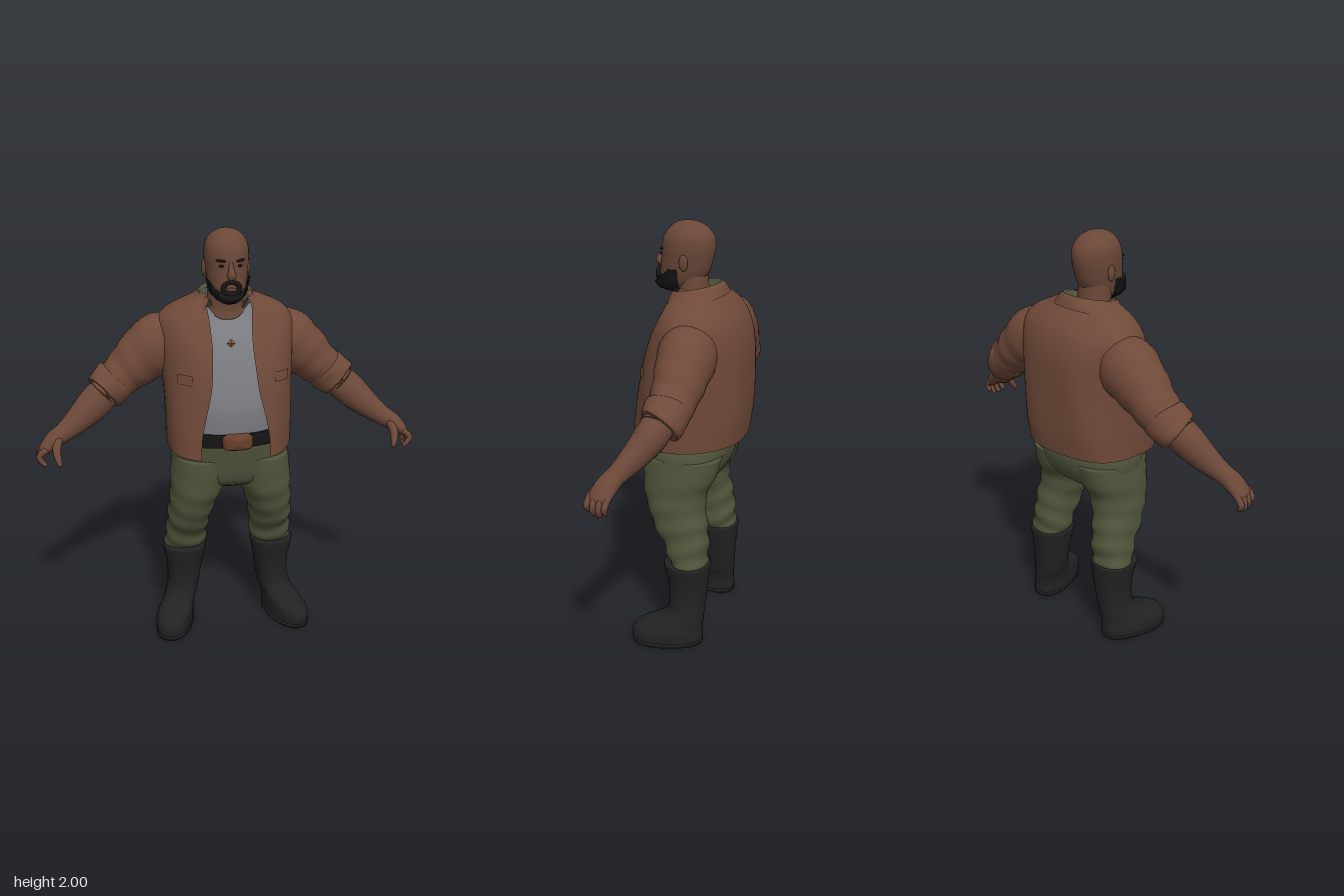
import * as THREE from 'three';

const mat = (name, color) => {
  const m = new THREE.MeshStandardMaterial({ color, side: THREE.DoubleSide });
  m.name = name;
  return m;
};
const V = (x, y, z) => new THREE.Vector3(x, y, z);
const TAU = Math.PI * 2;

// Smooth interpolation through rows of numbers, u in 0..1
function sample(rows, u) {
  const f = Math.min(u, 0.99999) * (rows.length - 1), i = Math.floor(f), t = f - i;
  const at = (k) => rows[Math.max(0, Math.min(rows.length - 1, k))];
  return rows[i].map((b, k) => {
    const a = at(i - 1)[k], c = at(i + 1)[k], d = at(i + 2)[k];
    return b + 0.5 * t * (c - a + t * (2 * a - 5 * b + 4 * c - d + t * (3 * (b - c) + d - a)));
  });
}

// Surface from a function of two parameters; closed wraps v, caps fill both ends
function grid(fn, nu, nv, closed = false, caps = false) {
  const pos = [], idx = [], cols = closed ? nv : nv + 1;
  for (let i = 0; i <= nu; i++)
    for (let j = 0; j < cols; j++) pos.push(...fn(i / nu, j / nv).toArray());
  for (let i = 0; i < nu; i++)
    for (let j = 0; j < nv; j++) {
      const a = i * cols + j, b = i * cols + ((j + 1) % cols);
      idx.push(a, b, b + cols, a, b + cols, a + cols);
    }
  if (caps) for (const i of [0, nu]) {
    const c = V(0, 0, 0), id = pos.length / 3;
    for (let j = 0; j < nv; j++) c.addScaledVector(fn(i / nu, j / nv), 1 / nv);
    pos.push(...c.toArray());
    for (let j = 0; j < nv; j++) {
      const a = i * cols + j, b = i * cols + ((j + 1) % cols);
      idx.push(...(i ? [a, b, id] : [b, a, id]));
    }
  }
  const g = new THREE.BufferGeometry();
  g.setAttribute('position', new THREE.Float32BufferAttribute(pos, 3));
  g.setIndex(idx);
  g.computeVertexNormals();
  return g;
}

// Point on a level section [y, centreX, halfWidth, zBack, zFront, turn]; angle 0 faces front
function ring([y, cx, rx, zb, zf, turn = 0], t, e = 1, grow = 0) {
  const pw = (v) => Math.sign(v) * Math.abs(v) ** e;
  const x = (rx + grow) * pw(Math.sin(t)), z = ((zf - zb) / 2 + grow) * pw(Math.cos(t));
  const c = Math.cos(turn), s = Math.sin(turn);
  return V(cx + x * c + z * s, y, (zf + zb) / 2 + z * c - x * s);
}
const loft = (rows, nu, nv, e = 1, fold = () => 0) =>
  grid((u, v) => ring(sample(rows, u), v * TAU, e, fold(u, v * TAU)), nu, nv, true, true);

// Tube along sections [x, y, z, radius in the front plane, radius in depth]
function limb(rows, nu, nv, fold = () => 0) {
  return grid((u, v) => {
    const [x, y, z, ru, rv] = sample(rows, u);
    const p = sample(rows, Math.max(0, u - 0.02)), q = sample(rows, Math.min(1, u + 0.02));
    const T = V(q[0] - p[0], q[1] - p[1], q[2] - p[2]).normalize();
    const e2 = T.clone().cross(V(0, 0, 1)).normalize(), e1 = e2.clone().cross(T);
    const k = 1 + fold(u, v * TAU);
    return V(x, y, z).addScaledVector(e1, k * rv * Math.cos(v * TAU)).addScaledVector(e2, k * ru * Math.sin(v * TAU));
  }, nu, nv, true, true);
}

export function createModel() {
  const root = new THREE.Group();
  const skin = mat('skin', 0x6b4838), cloth = mat('jacket brown', 0x704a39), grey = mat('shirt grey', 0x7c7d82);
  const olive = mat('trouser olive', 0x50553b), black = mat('boot black', 0x222223), hair = mat('beard black', 0x161617);
  const leather = mat('buckle leather', 0x6a3f2c), bronze = mat('pendant bronze', 0x8a5a3c), lip = mat('lip brown', 0x5a3830);
  const add = (name, geo, m, parent = root) => {
    const o = new THREE.Mesh(geo, m);
    o.name = name;
    parent.add(o);
    return o;
  };
  const ball = (name, m, p, s, parent = root) => {
    const o = add(name, new THREE.SphereGeometry(1, 16, 12), m, parent);
    o.position.set(...p);
    o.scale.set(...s);
    return o;
  };

  // Head, neck and face
  const head = new THREE.Group();
  head.name = 'head';
  root.add(head);
  add('skull', loft([[1.685, 0.003, 0.04, 0.03, 0.12], [1.72, 0.003, 0.074, -0.03, 0.155], [1.77, 0.003, 0.088, -0.07, 0.158],
    [1.83, 0.003, 0.096, -0.09, 0.152], [1.88, 0.003, 0.1, -0.1, 0.15], [1.93, 0.003, 0.096, -0.095, 0.138],
    [1.97, 0.003, 0.073, -0.063, 0.108], [1.992, 0.003, 0.04, -0.02, 0.073], [2, 0.003, 0.004, 0.02, 0.03]], 32, 32), skin, head);
  add('neck', loft([[1.5, 0, 0.2, -0.13, 0.125], [1.58, 0, 0.15, -0.12, 0.085], [1.64, 0, 0.09, -0.08, 0.072],
    [1.72, 0, 0.08, -0.066, 0.08], [1.8, 0, 0.078, -0.06, 0.08]], 14, 24), skin, head);
  add('nose', limb([[0.003, 1.875, 0.138, 0.008, 0.01], [0.003, 1.84, 0.155, 0.012, 0.014],
    [0.003, 1.813, 0.167, 0.021, 0.018], [0.003, 1.8, 0.155, 0.014, 0.01]], 10, 12), skin, head);
  for (const s of [-1, 1]) {
    ball('ear', skin, [0.003 + s * 0.1, 1.825, 0.015], [0.011, 0.036, 0.021], head);
    ball('eye', hair, [0.003 + s * 0.039, 1.853, 0.139], [0.014, 0.006, 0.008], head);
    const brow = ball('brow', hair, [0.003 + s * 0.042, 1.875, 0.137], [0.024, 0.006, 0.009], head);
    brow.rotation.set(0, s * 0.35, s * 0.08);
  }
  ball('lips', lip, [0.003, 1.752, 0.163], [0.024, 0.009, 0.012], head);

  // Beard: ragged shell round the jaw and a ring round the mouth
  const beardRows = [[0.01, 0.03], [0.065, 0.09], [0.084, 0.122], [0.09, 0.124], [0.098, 0.108]];
  add('beard', grid((u, v) => {
    const t = (v - 0.5) * 3.3, a = Math.abs(t), [rx, rz] = sample(beardRows, u);
    const top = 1.735 + 0.06 * THREE.MathUtils.smoothstep(a, 0.25, 1.5);
    const rag = 0.007 * Math.sin(19 * t + 9 * u) * Math.sin(14 * u + 5 * t);
    return V(0.003 + (rx + rag) * Math.sin(t), 1.672 + (top - 1.672) * u + rag, 0.055 + (rz + rag) * Math.cos(t));
  }, 10, 36), hair, head);
  const ringBeard = add('moustache', new THREE.TorusGeometry(0.036, 0.012, 8, 24), hair, head);
  ringBeard.position.set(0.003, 1.758, 0.16);
  ringBeard.scale.y = 0.75;

  // Shirt with a dipped neckline
  const shirtRows = [[1.04, 0.01, 0.25, -0.2, 0.215], [1.2, 0.01, 0.262, -0.25, 0.228], [1.35, 0.01, 0.26, -0.245, 0.2],
    [1.5, 0.005, 0.24, -0.22, 0.15], [1.6, 0.003, 0.18, -0.17, 0.098], [1.665, 0.003, 0.118, -0.1, 0.082]];
  add('shirt', grid((u, v) => {
    const t = v * TAU, r = sample(shirtRows, u), p = ring(r, t, 0.85);
    p.y -= 0.085 * u ** 8 * Math.max(0, Math.cos(t)) ** 6;
    return p;
  }, 24, 40, true), grey);
  const pendant = add('pendant', new THREE.OctahedronGeometry(0.02), bronze);
  pendant.position.set(0.003, 1.51, 0.152);
  pendant.scale.z = 0.4;

  // Open jacket: last number of each row is the half width of the front opening
  const jacketRows = [[1, 0.012, 0.295, -0.265, 0.268, 0.16], [1.1, 0.012, 0.297, -0.277, 0.262, 0.155], [1.2, 0.012, 0.297, -0.28, 0.25, 0.135],
    [1.3, 0.012, 0.3, -0.277, 0.232, 0.11], [1.4, 0.012, 0.305, -0.272, 0.208, 0.098], [1.5, 0.01, 0.315, -0.258, 0.17, 0.092],
    [1.58, 0.01, 0.315, -0.228, 0.125, 0.095], [1.635, 0.01, 0.27, -0.185, 0.095, 0.1], [1.68, 0.006, 0.18, -0.14, 0.07, 0.1],
    [1.71, 0.004, 0.115, -0.105, 0.05, 0.09]];
  const E = 0.82;
  const jacketPoint = (u, t, grow = 0) => {
    const p = ring(sample(jacketRows, u).slice(0, 5), t, E, grow + 0.004 * Math.sin(5 * t + 6 * u));
    p.y -= 0.018 * Math.cos(t) * (1 - u) ** 3;
    return p;
  };
  add('jacketBody', grid((u, v) => {
    const r = sample(jacketRows, u), t0 = Math.asin(Math.min(1, r[5] / r[2]) ** (1 / E));
    return jacketPoint(u, t0 + v * (TAU - 2 * t0));
  }, 36, 56), cloth);
  for (const s of [-1, 1]) add('pocketFlap', grid((u, v) =>
    jacketPoint(0.37 + 0.05 * u, s * 0.75 + (v - 0.5) * 0.32, 0.006), 2, 6), cloth);

  // Folded collar with an olive lining
  const collar = (name, m, rows) => add(name, grid((u, v) => {
    const t = 0.75 + v * (TAU - 1.5), [rx, rz, yf, yb] = sample(rows, u), k = (1 - Math.cos(t)) / 2;
    return V(0.006 + rx * Math.sin(t), yf + (yb - yf) * k, -0.015 + rz * Math.cos(t));
  }, 6, 36), m);
  collar('collarLining', olive, [[0.095, 0.085, 1.64, 1.66], [0.108, 0.1, 1.67, 1.7], [0.126, 0.115, 1.69, 1.735]]);
  collar('collarFold', cloth, [[0.126, 0.115, 1.69, 1.735], [0.148, 0.132, 1.66, 1.72], [0.185, 0.15, 1.605, 1.685]]);

  // Arms: sleeve, rolled cuff, forearm, fingers
  for (const s of [-1, 1]) {
    const arm = new THREE.Group();
    arm.name = s > 0 ? 'leftArm' : 'rightArm';
    root.add(arm);
    const side = (rows) => rows.map(([x, y, z, a, b]) => [0.004 + s * x, y, z - (s < 0 ? 0.05 * Math.max(0, x - 0.6) / 0.25 : 0), a, b]);
    add('sleeve', limb(side([[0.19, 1.5, -0.06, 0.1, 0.11], [0.29, 1.465, -0.075, 0.145, 0.13], [0.39, 1.395, -0.08, 0.127, 0.117],
      [0.47, 1.325, -0.078, 0.103, 0.103], [0.55, 1.26, -0.063, 0.09, 0.092]]), 28, 28,
      (u, t) => 0.035 * u * Math.sin(26 * u + 2 * Math.sin(t + s))), cloth, arm);
    add('cuff', limb(side([[0.49, 1.315, -0.075, 0.085, 0.085], [0.505, 1.3, -0.073, 0.103, 0.102], [0.55, 1.262, -0.063, 0.1, 0.1],
      [0.572, 1.243, -0.055, 0.094, 0.094], [0.57, 1.245, -0.055, 0.07, 0.07]]), 14, 28,
      (u, t) => 0.03 * Math.sin(3 * t + 9 * u)), cloth, arm);
    add('forearm', limb(side([[0.53, 1.275, -0.06, 0.072, 0.072], [0.61, 1.205, -0.03, 0.08, 0.07], [0.69, 1.137, 0.015, 0.064, 0.056],
      [0.76, 1.088, 0.055, 0.047, 0.044], [0.815, 1.055, 0.08, 0.04, 0.05], [0.858, 1.015, 0.095, 0.026, 0.05], [0.868, 0.995, 0.098, 0.01, 0.04]]), 28, 20), skin, arm);
    for (let k = 0; k < 4; k++) {
      const z = 0.055 + k * 0.027, d = [0.015, 0, 0, 0.012][k];
      add('finger', limb(side([[0.845, 1.03, z, 0.014, 0.013], [0.878, 1, z + 0.003, 0.015, 0.014],
        [0.886 - k * 0.004, 0.965 + d, z + 0.006, 0.013, 0.013], [0.868 - k * 0.006, 0.94 + d, z + 0.008, 0.009, 0.009]]), 8, 10), skin, arm);
    }
    add('thumb', limb(side([[0.79, 1.065, 0.1, 0.022, 0.022], [0.8, 1.03, 0.135, 0.02, 0.02],
      [0.795, 0.995, 0.163, 0.016, 0.016], [0.785, 0.965, 0.18, 0.009, 0.009]]), 8, 10), skin, arm);
  }

  // Trousers, belt and buckle
  add('trouserSeat', loft([[0.78, 0.024, 0.09, -0.07, 0.09], [0.82, 0.024, 0.22, -0.145, 0.155], [0.88, 0.024, 0.275, -0.185, 0.18],
    [0.95, 0.022, 0.285, -0.203, 0.192], [1.02, 0.018, 0.272, -0.2, 0.205], [1.08, 0.015, 0.262, -0.2, 0.212]], 18, 36, 0.85), olive);
  add('belt', loft([[1.035, 0.015, 0.272, -0.208, 0.225], [1.04, 0.015, 0.274, -0.21, 0.23], [1.095, 0.015, 0.272, -0.212, 0.236],
    [1.1, 0.015, 0.268, -0.208, 0.23]], 6, 40, 0.85), hair);
  add('buckle', grid((u, v) => {
    const a = v * TAU, w = [0.07, 0.07, 0.055, 0.0][Math.round(u * 3)], h = w * 0.5;
    const sq = (q) => Math.sign(q) * Math.abs(q) ** 0.4, x = w * sq(Math.cos(a));
    return V(0.02 + x, 1.067 + h * sq(Math.sin(a)), [0.22, 0.256, 0.268, 0.268][Math.round(u * 3)] - 3 * x * x);
  }, 3, 32, true), leather);

  for (const s of [-1, 1]) {
    const side = (rows) => rows.map(([y, x, rx, zb, zf, turn = 0]) => [y, 0.025 + s * x, rx, zb, zf, s * turn]);
    const leg = new THREE.Group();
    leg.name = s > 0 ? 'leftLeg' : 'rightLeg';
    root.add(leg);
    add('trouserLeg', loft(side([[0.4, 0.222, 0.09, -0.145, 0.02], [0.44, 0.22, 0.102, -0.152, 0.03], [0.52, 0.21, 0.1, -0.152, 0.065],
      [0.6, 0.204, 0.103, -0.145, 0.115], [0.68, 0.19, 0.112, -0.13, 0.145], [0.76, 0.172, 0.124, -0.13, 0.172],
      [0.85, 0.152, 0.14, -0.17, 0.182], [0.95, 0.14, 0.14, -0.195, 0.188]]), 36, 28, 0.9,
      (u, t) => 0.007 * (1 - u) * Math.sin(34 * u + 2.5 * Math.cos(t + s * 0.6))), olive, leg);
    add('boot', loft(side([[0.004, 0.287, 0.082, -0.14, 0.19, 0.3], [0.012, 0.287, 0.088, -0.146, 0.198, 0.3], [0.06, 0.287, 0.088, -0.146, 0.2, 0.3],
      [0.095, 0.278, 0.084, -0.145, 0.175, 0.3], [0.125, 0.258, 0.08, -0.145, 0.09, 0.25], [0.16, 0.242, 0.08, -0.146, 0.042, 0.2],
      [0.22, 0.231, 0.081, -0.15, 0.03, 0.1], [0.31, 0.225, 0.09, -0.157, 0.036, 0], [0.38, 0.224, 0.102, -0.163, 0.05, 0],
      [0.42, 0.224, 0.108, -0.166, 0.056, 0], [0.426, 0.224, 0.1, -0.158, 0.048, 0]]), 44, 28, 0.88), black, leg);
    add('sole', loft(side([[0, 0.287, 0.09, -0.148, 0.2, 0.3], [0.022, 0.287, 0.092, -0.148, 0.202, 0.3]]), 1, 28, 0.88), black, leg);
  }
  return root;
}
